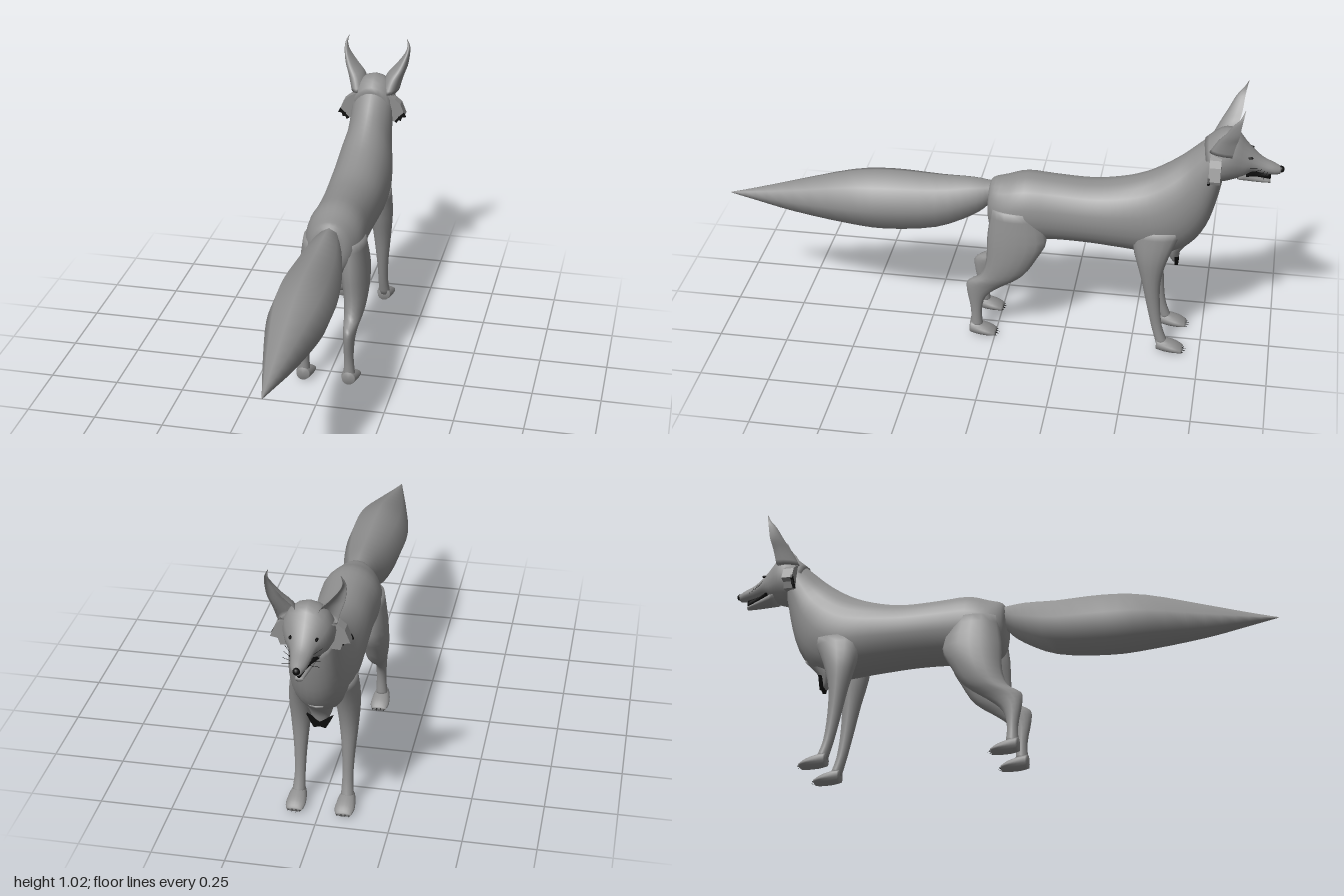
import * as THREE from 'three';

const fur = new THREE.MeshStandardMaterial({ color: 0x8f8f8f, side: THREE.DoubleSide });
fur.name = 'greyFur';
const dark = new THREE.MeshStandardMaterial({ color: 0x0c0c0c, side: THREE.DoubleSide });
dark.name = 'blackDetail';

function add(parent, name, geometry, material, x = 0, y = 0, z = 0) {
  const mesh = new THREE.Mesh(geometry, material);
  mesh.name = name;
  mesh.position.set(x, y, z);
  parent.add(mesh);
  return mesh;
}

// Smooth the list of cross-sections with a Catmull-Rom curve
function refine(rows, steps) {
  const out = [];
  const at = i => rows[Math.max(0, Math.min(rows.length - 1, i))];
  for (let i = 0; i < rows.length - 1; i++) {
    for (let s = 0; s < steps; s++) {
      const t = s / steps;
      out.push(rows[i].map((b, k) => {
        const a = at(i - 1)[k], c = at(i + 1)[k], d = at(i + 2)[k];
        return b + 0.5 * t * (c - a + t * (2 * a - 5 * b + 4 * c - d + t * (3 * (b - c) + d - a)));
      }));
    }
  }
  out.push(rows[rows.length - 1]);
  return out;
}

// Loft of oval rings; row = [topZ, topY, bottomZ, bottomY, halfWidth, centreX]
// dish scales the top half of each ring, so a negative value makes it hollow
function loft(rows, { sides = 16, steps = 3, mirror = 1, dish = 1 } = {}) {
  const rings = refine(rows.map(r => [...r.slice(0, 5), (r[5] || 0) * mirror]), steps);
  const pos = [], index = [];
  for (const [tz, ty, bz, by, rx, cx] of rings) {
    for (let j = 0; j < sides; j++) {
      const a = j / sides * Math.PI * 2;
      const s = Math.sin(a) * (Math.sin(a) > 0 ? dish : 1) / 2;
      pos.push(cx + Math.max(rx, 0.0005) * Math.cos(a), (ty + by) / 2 + (ty - by) * s, (tz + bz) / 2 + (tz - bz) * s);
    }
  }
  const first = rings[0], last = rings[rings.length - 1];
  for (const [tz, ty, bz, by, , cx] of [first, last]) pos.push(cx, (ty + by) / 2, (tz + bz) / 2);
  // Ring normal is x cross (top - bottom); flip faces if the loft runs against it
  const dy = last[1] + last[3] - first[1] - first[3], dz = last[0] + last[2] - first[0] - first[2];
  const forward = dz * (first[1] - first[3]) - dy * (first[0] - first[2]) > 0;
  const tri = (a, b, c) => forward ? index.push(a, b, c) : index.push(a, c, b);
  const n = rings.length, start = n * sides;
  for (let j = 0; j < sides; j++) {
    const k = (j + 1) % sides;
    for (let i = 0; i < n - 1; i++) {
      const a = i * sides + j, b = i * sides + k;
      tri(a, b, b + sides);
      tri(a, b + sides, a + sides);
    }
    tri(start, k, j);
    tri(start + 1, (n - 1) * sides + j, (n - 1) * sides + k);
  }
  const g = new THREE.BufferGeometry();
  g.setAttribute('position', new THREE.Float32BufferAttribute(pos, 3));
  g.setIndex(index);
  g.computeVertexNormals();
  return g;
}

function plate(points, depth) {
  const shape = new THREE.Shape(points.map(p => new THREE.Vector2(...p)));
  return new THREE.ExtrudeGeometry(shape, { depth, bevelEnabled: false });
}

// Paw with four claws
function paw(parent, name, side, z) {
  const group = new THREE.Group();
  group.name = name;
  group.position.set(side * 0.085, 0, z);
  parent.add(group);
  add(group, 'foot', loft([
    [0, 0.055, 0, 0.005, 0.024], [-0.03, 0.05, -0.03, 0, 0.031],
    [-0.07, 0.035, -0.07, 0, 0.034], [-0.095, 0.018, -0.095, 0.003, 0.027]
  ]), fur);
  for (let i = 0; i < 4; i++) {
    const claw = add(group, 'claw', new THREE.ConeGeometry(0.004, 0.022, 6), dark, (i - 1.5) * 0.014, 0.01, -0.1 + Math.abs(i - 1.5) * 0.005);
    claw.rotation.x = -Math.PI / 2 - 0.3;
  }
}

export function createModel() {
  const model = new THREE.Group();
  model.name = 'fox';

  // Body from rump to neck
  add(model, 'body', loft([
    [0.035, 0.58, 0.035, 0.5, 0.03], [0.022, 0.61, 0.03, 0.43, 0.07],
    [-0.03, 0.625, -0.02, 0.385, 0.1], [-0.1, 0.645, -0.1, 0.385, 0.11],
    [-0.2, 0.64, -0.2, 0.395, 0.105], [-0.33, 0.635, -0.33, 0.395, 0.108],
    [-0.43, 0.65, -0.46, 0.385, 0.112], [-0.52, 0.68, -0.6, 0.375, 0.112],
    [-0.59, 0.72, -0.69, 0.42, 0.105], [-0.65, 0.765, -0.745, 0.5, 0.09],
    [-0.7, 0.81, -0.775, 0.6, 0.083], [-0.745, 0.85, -0.79, 0.68, 0.08]
  ], { sides: 24 }), fur);

  // Tail
  add(model, 'tail', loft([
    [0, 0.6, 0, 0.56, 0.02], [0.03, 0.602, 0.04, 0.5, 0.04],
    [0.1, 0.61, 0.1, 0.45, 0.062], [0.22, 0.608, 0.22, 0.395, 0.088],
    [0.4, 0.61, 0.4, 0.375, 0.108], [0.55, 0.592, 0.55, 0.385, 0.1],
    [0.75, 0.535, 0.75, 0.41, 0.06], [0.9, 0.49, 0.9, 0.44, 0.025],
    [1, 0.463, 1, 0.46, 0.001]
  ], { sides: 8 }), fur);

  // Head, jaw, mouth and nose
  add(model, 'head', loft([
    [-0.72, 0.835, -0.75, 0.69, 0.07], [-0.775, 0.88, -0.785, 0.685, 0.085],
    [-0.825, 0.88, -0.82, 0.695, 0.08], [-0.865, 0.835, -0.86, 0.71, 0.06],
    [-0.9, 0.8, -0.89, 0.73, 0.042], [-0.93, 0.778, -0.93, 0.725, 0.032],
    [-0.965, 0.763, -0.965, 0.722, 0.025], [-0.99, 0.75, -0.985, 0.724, 0.014]
  ]), fur);
  add(model, 'jaw', loft([
    [-0.85, 0.74, -0.84, 0.698, 0.045], [-0.91, 0.715, -0.91, 0.69, 0.026], [-0.955, 0.7, -0.955, 0.686, 0.012]
  ], { sides: 12 }), fur);
  add(model, 'mouth', loft([
    [-0.87, 0.733, -0.87, 0.722, 0.05], [-0.91, 0.729, -0.91, 0.712, 0.026], [-0.955, 0.726, -0.955, 0.698, 0.008]
  ], { sides: 8 }), dark);
  add(model, 'nose', new THREE.SphereGeometry(0.012, 12, 8), dark, 0, 0.742, -0.988);

  // Chest tuft with a dark fringe
  add(model, 'chestTuft', loft([
    [-0.72, 0.45, -0.6, 0.45, 0.05], [-0.665, 0.39, -0.6, 0.39, 0.04], [-0.65, 0.34, -0.63, 0.34, 0.02]
  ], { sides: 12 }), fur);
  add(model, 'chestFringe', plate([
    [-0.045, 0.375], [-0.03, 0.345], [-0.02, 0.327], [0, 0.333], [0.02, 0.327], [0.03, 0.345], [0.045, 0.375], [0, 0.35]
  ], 0.012), dark, 0, 0, -0.654);

  for (const side of [1, -1]) {
    const label = side > 0 ? 'left' : 'right';
    const put = (name, rows, options = {}) => add(model, label + name, loft(rows, { mirror: side, ...options }), fur);

    // Ears, hollow at the front with curled tips
    put('Ear', [
      [-0.9, 0.82, -0.74, 0.82, 0.034, 0.06], [-0.895, 0.88, -0.765, 0.87, 0.034, 0.075],
      [-0.89, 0.92, -0.79, 0.91, 0.024, 0.099], [-0.875, 0.96, -0.815, 0.955, 0.011, 0.118],
      [-0.86, 0.99, -0.84, 0.987, 0.005, 0.123], [-0.857, 1.015, -0.853, 1.015, 0.001, 0.114]
    ], { dish: -0.6 });

    // Legs
    put('FrontLeg', [
      [-0.67, 0.5, -0.48, 0.5, 0.04, 0.07], [-0.625, 0.4, -0.5, 0.4, 0.042, 0.08],
      [-0.6, 0.3, -0.528, 0.3, 0.033, 0.083], [-0.6, 0.2, -0.552, 0.19, 0.023, 0.083],
      [-0.612, 0.1, -0.573, 0.1, 0.019, 0.083], [-0.635, 0.035, -0.593, 0.03, 0.023, 0.085]
    ]);
    put('HindLeg', [
      [-0.15, 0.53, 0.015, 0.53, 0.045, 0.068], [-0.185, 0.42, 0.03, 0.42, 0.053, 0.075],
      [-0.15, 0.34, 0.033, 0.32, 0.046, 0.084], [-0.1, 0.265, 0.055, 0.255, 0.036, 0.085],
      [-0.015, 0.205, 0.1, 0.225, 0.025, 0.083], [0.035, 0.16, 0.105, 0.185, 0.02, 0.083],
      [0.05, 0.1, 0.09, 0.1, 0.018, 0.083], [0.045, 0.035, 0.092, 0.03, 0.022, 0.085]
    ]);
    paw(model, label + 'FrontPaw', side, -0.595);
    paw(model, label + 'HindPaw', side, 0.092);

    // Cheek ruff and its dark tips
    const flip = points => points.map(([x, y]) => [x * side, y]);
    add(model, label + 'CheekRuff', plate(flip([
      [0.06, 0.82], [0.09, 0.803], [0.112, 0.785], [0.13, 0.74], [0.105, 0.735], [0.097, 0.712], [0.06, 0.715]
    ]), 0.04), fur, 0, 0, -0.785);
    add(model, label + 'CheekTips', plate(flip([
      [0.126, 0.752], [0.134, 0.735], [0.12, 0.733], [0.115, 0.718], [0.105, 0.72], [0.1, 0.708], [0.09, 0.714], [0.108, 0.735]
    ]), 0.008), dark, 0, 0, -0.75);

    // Eye and whiskers
    const eye = add(model, label + 'Eye', new THREE.SphereGeometry(0.01, 10, 8), dark, side * 0.042, 0.798, -0.88);
    eye.scale.set(0.5, 0.5, 1.1);
    for (let i = 0; i < 4; i++) {
      const path = new THREE.LineCurve3(
        new THREE.Vector3(side * 0.025, 0.742 + i * 0.004, -0.945 + i * 0.008),
        new THREE.Vector3(side * 0.06, 0.73 + i * 0.013, -0.93 + i * 0.016));
      add(model, label + 'Whisker', new THREE.TubeGeometry(path, 1, 0.0008, 4), dark);
    }
  }
  return model;
}
